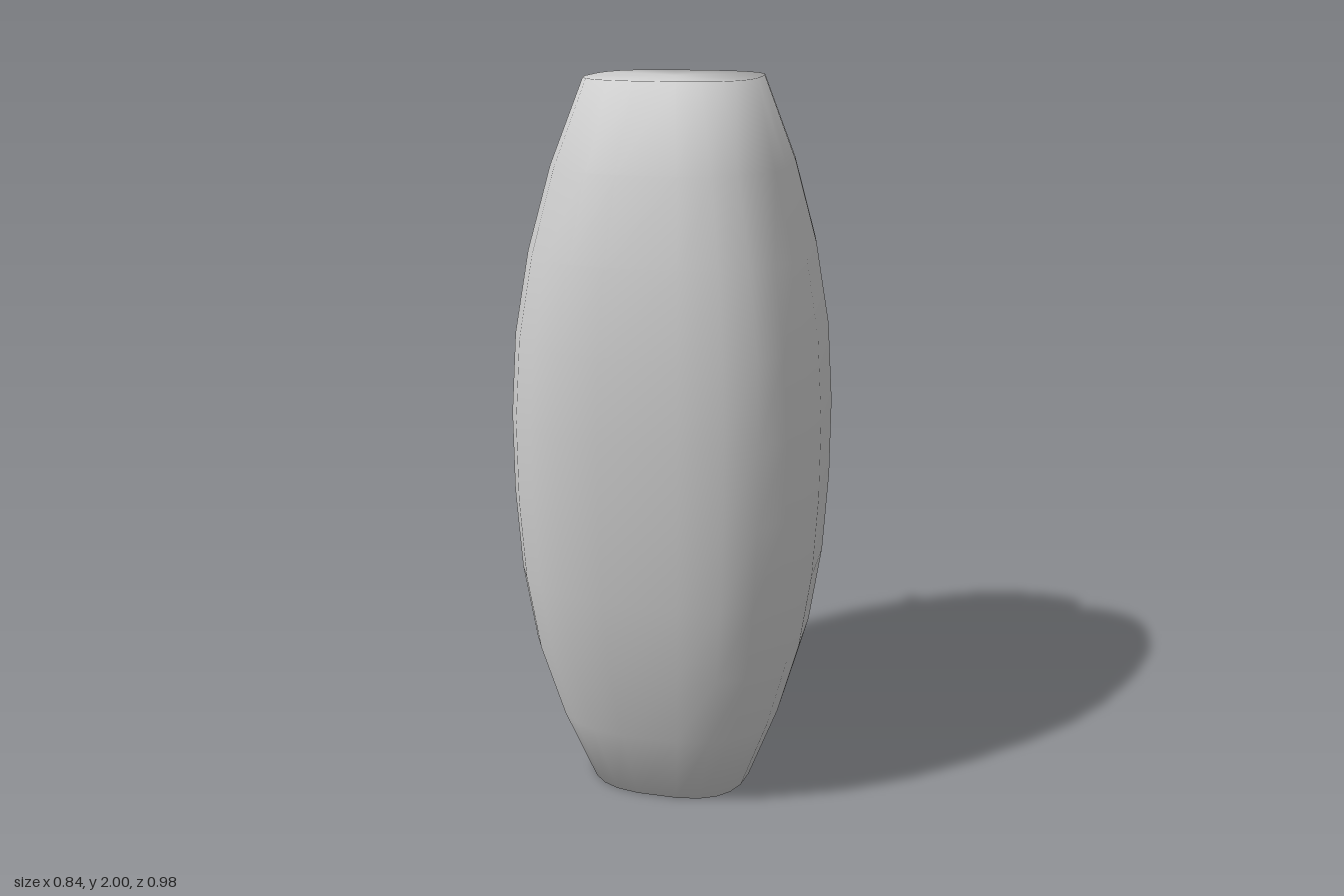
import * as THREE from 'three';

const material = new THREE.MeshStandardMaterial({ color: 0xcccccc });

// Closed smooth loft along y; each ring is [y, halfX, halfZ, centreZ],
// with a superellipse section of the given power.
function loft(name, rings, sides, power, turn = 0) {
  const pos = [], index = [];
  const bend = v => Math.sign(v) * Math.abs(v) ** (2 / power);
  for (const [y, hx, hz, cz = 0] of rings) {
    for (let j = 0; j < sides; j++) {
      const a = turn + (j / sides) * Math.PI * 2;
      pos.push(hx * bend(Math.cos(a)), y, cz + hz * bend(Math.sin(a)));
    }
  }
  const last = rings.length - 1;
  for (let i = 0; i < last; i++) {
    for (let j = 0; j < sides; j++) {
      const k = (j + 1) % sides;
      const a = i * sides + j, c = i * sides + k;
      index.push(a, a + sides, c, c, a + sides, c + sides);
    }
  }
  // End caps share the rim vertices so the shading rolls over the edge
  const bottom = pos.length / 3, top = bottom + 1;
  pos.push(0, rings[0][0], rings[0][3] || 0, 0, rings[last][0], rings[last][3] || 0);
  for (let j = 0; j < sides; j++) {
    const k = (j + 1) % sides;
    index.push(bottom, j, k, top, last * sides + k, last * sides + j);
  }
  const geo = new THREE.BufferGeometry();
  geo.setAttribute('position', new THREE.Float32BufferAttribute(pos, 3));
  geo.setIndex(index);
  geo.computeVertexNormals();
  const mesh = new THREE.Mesh(geo, material);
  mesh.name = name;
  return mesh;
}

// Horizontal six-sided bar across x, bowed slightly backwards in the middle
function crossBar(name, y, z, half, radius, bow) {
  const rings = [-1, -0.5, 0, 0.5, 1].map(t => [t * half, radius, radius, -bow * (1 - t * t)]);
  const bar = loft(name, rings, 6, 2);
  bar.rotation.z = Math.PI / 2;
  bar.position.set(0, y, z);
  return bar;
}

// Straight stroke between two points; scales give its thickness along the way
function stroke(name, from, to, radius, scales) {
  const a = new THREE.Vector3(...from), b = new THREE.Vector3(...to);
  const length = a.distanceTo(b);
  const rings = scales.map((s, i) => [
    (i / (scales.length - 1)) * length, radius * s, radius * s]);
  const mesh = loft(name, rings, 6, 2);
  mesh.position.copy(a);
  mesh.quaternion.setFromUnitVectors(new THREE.Vector3(0, 1, 0), b.sub(a).normalize());
  return mesh;
}

export function createModel() {
  const model = new THREE.Group();
  model.name = 'barrelWithBackPanel';

  // Barrel body with a rounded-square section
  const bodyProfile = [
    [0, 0.235], [0.23, 0.32], [0.45, 0.38], [0.67, 0.412], [0.9, 0.425],
    [1.12, 0.425], [1.34, 0.41], [1.56, 0.372], [1.78, 0.312], [2, 0.228],
  ];
  model.add(loft('body', bodyProfile.map(([y, r]) => [y, r, r, 0.07]), 24, 2.9, Math.PI / 24));

  // Back panel: a flattened barrel, tapering to both ends
  const panelHalf = [[0.695, 0.18, 0.062], [0.56, 0.232, 0.073], [0.34, 0.29, 0.084], [0.12, 0.32, 0.088]];
  const panelRings = [
    ...panelHalf.map(([d, hx, hz]) => [1.005 - d, hx, hz, -0.292 - hz]),
    ...[...panelHalf].reverse().map(([d, hx, hz]) => [1.005 + d, hx, hz, -0.292 - hz]),
  ];
  model.add(loft('backPanel', panelRings, 24, 3, Math.PI / 24));

  // Pins poking out of the panel sides, and bars across its back
  for (const s of [-1, 1]) {
    const place = s > 0 ? 'upper' : 'lower';
    model.add(crossBar(place + 'SidePin', 1.005 + s * 0.46, -0.325, 0.3, 0.027, 0));
    model.add(crossBar(place + 'BackBar', 1.005 + s * 0.325, -0.463, 0.23, 0.025, 0.007));
  }

  // Two bent handles; the second is the first turned half round
  for (const s of [1, -1]) {
    const handle = new THREE.Group();
    handle.name = s > 0 ? 'leftHandle' : 'rightHandle';
    handle.add(
      stroke('pinchedArm', [0.18, 0.185, 0], [0.11, 0, 0], 0.018, [1, 0.65, 0.3, 0.6, 0.9]),
      stroke('straightArm', [0.18, -0.185, 0], [0.11, 0.01, 0], 0.019, [1, 1]),
    );
    handle.position.set(0, 1.06, -0.472);
    if (s < 0) handle.rotation.z = Math.PI;
    model.add(handle);
  }
  return model;
}
